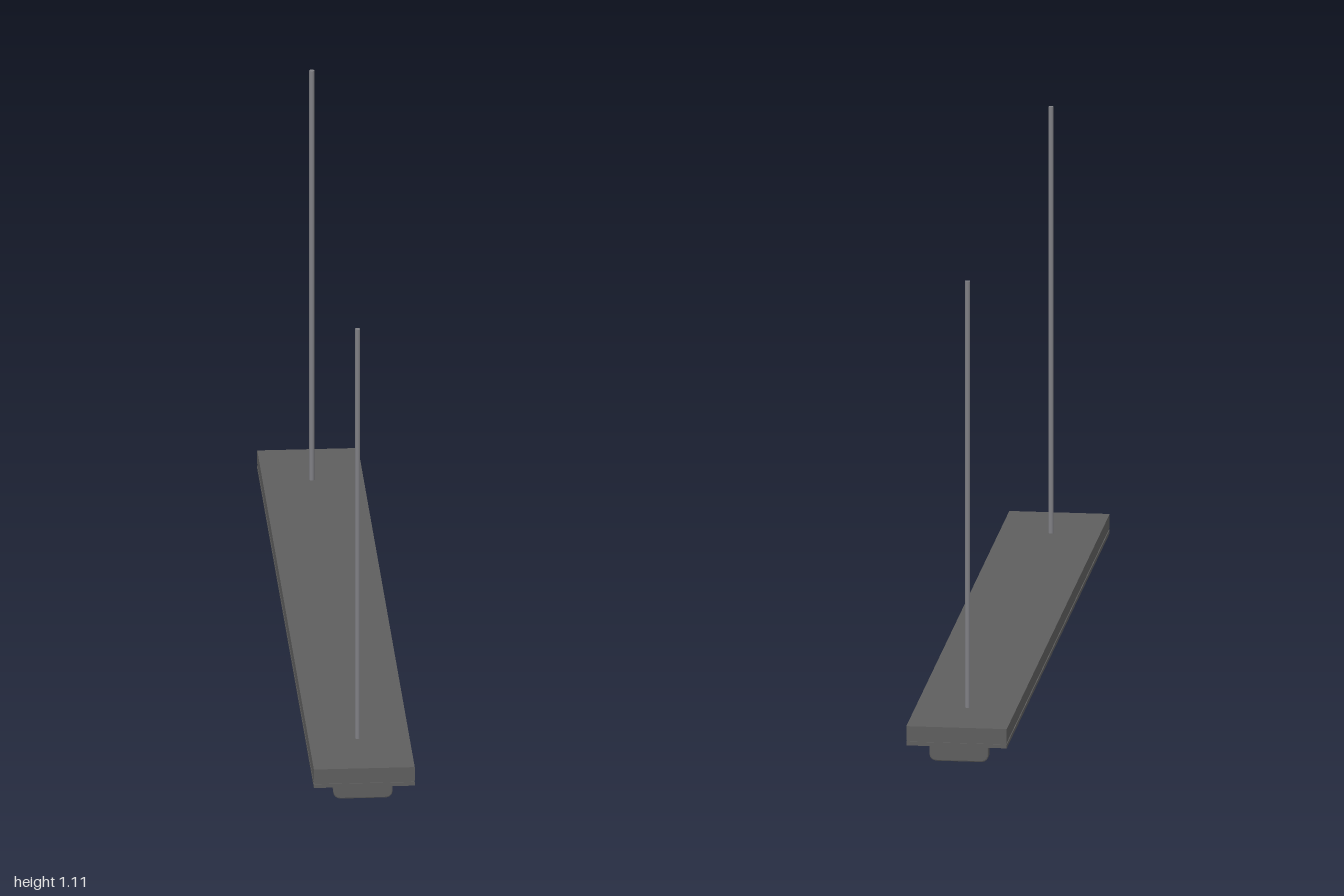
import * as THREE from 'three';

export function createModel() {
  const group = new THREE.Group();
  const material = (name, color) => {
    const m = new THREE.MeshStandardMaterial({ color });
    m.name = name;
    return m;
  };
  const darkMetal = material('dark grey metal', 0x5e5e5e);
  const rodMetal = material('rod grey', 0x7f7f84);
  const tubeWhite = material('tube white', 0xdcd6d6);

  const add = (name, geometry, mat, x, y, z) => {
    const mesh = new THREE.Mesh(geometry, mat);
    mesh.name = name;
    mesh.position.set(x, y, z);
    group.add(mesh);
    return mesh;
  };

  // Long housing: upper tray, narrow seam and bottom panel
  add('housing', new THREE.BoxGeometry(0.234, 0.033, 2), darkMetal, 0, 0.0765, 0);
  add('housingSeam', new THREE.BoxGeometry(0.23, 0.006, 1.996), darkMetal, 0, 0.058, 0);
  add('bottomPanel', new THREE.BoxGeometry(0.234, 0.009, 2), darkMetal, 0, 0.0515, 0);

  // Lamp holder outline: square at the panel, rounded below
  const w = 0.066, r = 0.016, bottom = 0.003;
  const holder = new THREE.Shape();
  holder.moveTo(-w, 0.046);
  holder.lineTo(-w, bottom + r);
  holder.quadraticCurveTo(-w, bottom, -w + r, bottom);
  holder.lineTo(w - r, bottom);
  holder.quadraticCurveTo(w, bottom, w, bottom + r);
  holder.lineTo(w, 0.046);
  holder.closePath();
  const holderGeometry = new THREE.ExtrudeGeometry(holder, {
    depth: 0.02, bevelEnabled: true, bevelThickness: 0.003, bevelSize: 0.003,
    bevelSegments: 2, curveSegments: 6,
  });
  holderGeometry.translate(0, 0, -0.01);

  // Matching holders and hanging rods at both ends
  const rodGeometry = new THREE.CylinderGeometry(0.006, 0.006, 1.03, 16);
  for (const side of [1, -1]) {
    const end = side > 0 ? 'front' : 'back';
    add(end + 'LampHolder', holderGeometry, darkMetal, 0, 0, side * 0.942);
    add(end + 'Rod', rodGeometry, rodMetal, -0.003, 0.597, side * 0.81);
  }

  // Three parallel lamp tubes
  const tubeGeometry = new THREE.CylinderGeometry(0.0145, 0.0145, 1.87, 24);
  tubeGeometry.rotateX(Math.PI / 2);
  [-0.043, 0, 0.043].forEach((x, i) => add('lampTube' + (i + 1), tubeGeometry, tubeWhite, x, 0.027, 0));

  return group;
}
